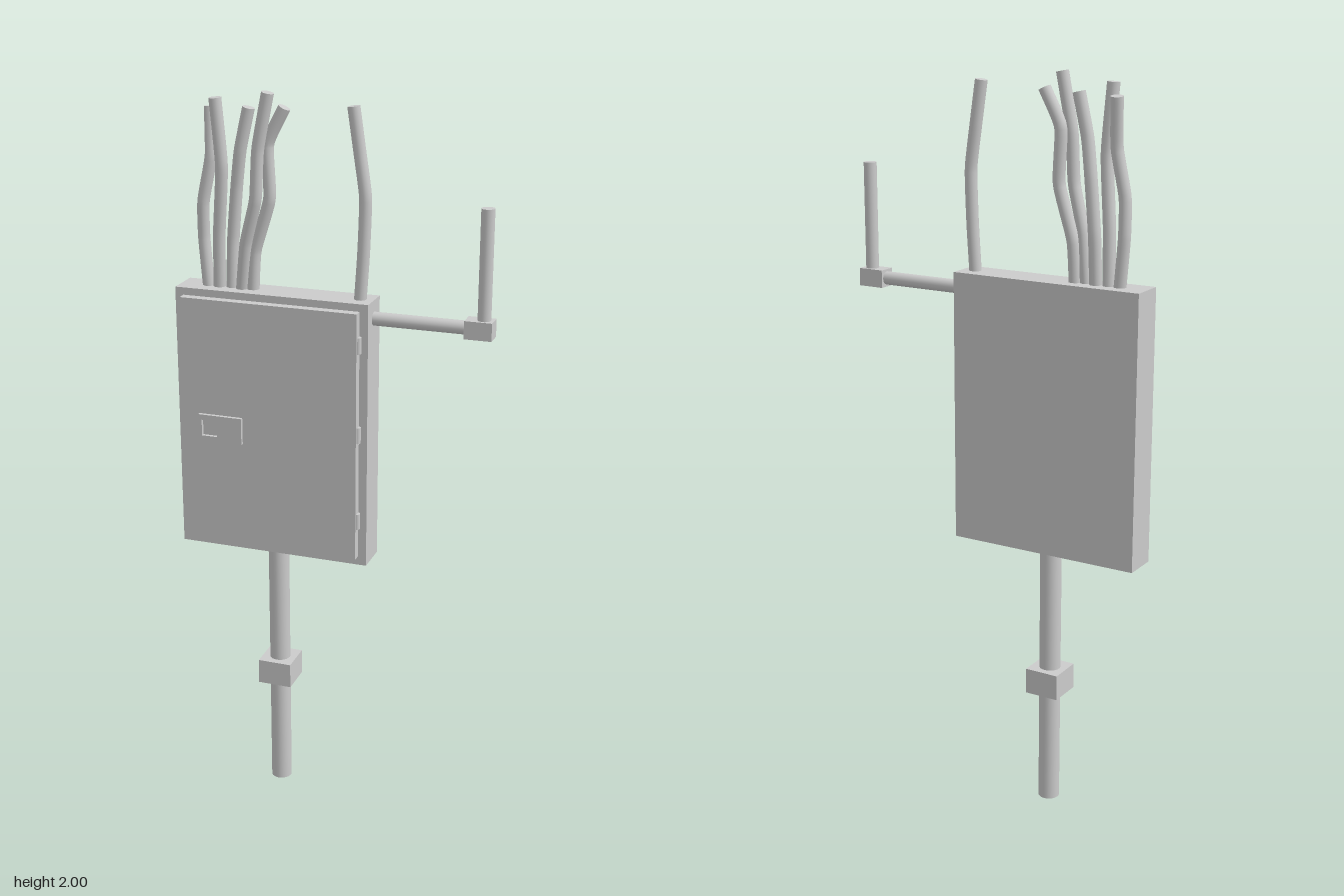
import * as THREE from 'three';

const material = new THREE.MeshStandardMaterial({ color: 0xcccccc });

export function createModel() {
  const model = new THREE.Group();

  function add(name, geometry, x = 0, y = 0, z = 0) {
    const mesh = new THREE.Mesh(geometry, material);
    mesh.name = name;
    mesh.position.set(x, y, z);
    model.add(mesh);
    return mesh;
  }

  // Box given by its lower and upper corners
  function box(name, [x0, y0, z0], [x1, y1, z1]) {
    return add(name, new THREE.BoxGeometry(x1 - x0, y1 - y0, z1 - z0),
      (x0 + x1) / 2, (y0 + y1) / 2, (z0 + z1) / 2);
  }

  function post(name, radius, x, y0, y1, z) {
    return add(name, new THREE.CylinderGeometry(radius, radius, y1 - y0, 24), x, (y0 + y1) / 2, z);
  }

  // Capped tube along a gently bent path
  function cable(name, points, radius = 0.0165) {
    const path = new THREE.CatmullRomCurve3(points.map(p => new THREE.Vector3(...p)), false, 'catmullrom', 0.25);
    add(name, new THREE.TubeGeometry(path, 32, radius, 14));
    [0, 1].forEach(t => {
      const end = path.getPointAt(t);
      const cap = add(name + 'End', new THREE.CircleGeometry(radius, 14), end.x, end.y, end.z);
      const out = path.getTangentAt(t).multiplyScalar(t ? 1 : -1);
      cap.quaternion.setFromUnitVectors(new THREE.Vector3(0, 0, 1), out);
    });
  }

  // Cabinet and door
  box('cabinet', [-0.43, 0.74, -0.067], [0.11, 1.475, 0.03]);
  box('door', [-0.407, 0.765, 0.03], [0.087, 1.455, 0.055]);

  // Latch plate with a square recess
  const plate = new THREE.Shape([[-0.36, 1.06], [-0.235, 1.06], [-0.235, 1.135], [-0.36, 1.135]]
    .map(p => new THREE.Vector2(...p)));
  plate.holes.push(new THREE.Path([[-0.35, 1.075], [-0.35, 1.12], [-0.306, 1.12], [-0.306, 1.075]]
    .map(p => new THREE.Vector2(...p))));
  add('latchPlate', new THREE.ExtrudeGeometry(plate, { depth: 0.01, bevelEnabled: false }), 0, 0, 0.055);

  // Hinges
  for (const y of [0.873, 1.12, 1.367]) post('hinge', 0.009, 0.086, y - 0.022, y + 0.022, 0.039);

  // Supporting conduit with coupling block
  post('lowerConduit', 0.029, -0.162, 0, 0.33, -0.017);
  post('upperConduit', 0.029, -0.162, 0.38, 0.745, -0.017);
  box('coupling', [-0.21, 0.322, -0.065], [-0.114, 0.393, 0.031]);

  // Side conduit, elbow block and riser
  const arm = add('sideConduit', new THREE.CylinderGeometry(0.018, 0.018, 0.27, 24), 0.235, 1.426, -0.019);
  arm.rotation.z = Math.PI / 2;
  box('elbow', [0.357, 1.402, -0.043], [0.43, 1.45, 0.005]);
  post('riser', 0.0175, 0.404, 1.44, 1.737, -0.019);

  // Cables rising from the cabinet top
  cable('cable1', [[-0.353, 1.46, -0.02], [-0.365, 1.6, -0.023], [-0.362, 1.7, -0.018], [-0.338, 1.82, -0.02], [-0.343, 1.945, -0.035]]);
  cable('cable2', [[-0.322, 1.46, -0.018], [-0.315, 1.62, -0.008], [-0.298, 1.8, 0.006], [-0.31, 1.975, 0.01]].map(
    ([x, y, z]) => [x, y, z]));
  cable('cable3', [[-0.287, 1.46, -0.022], [-0.284, 1.6, -0.028], [-0.27, 1.74, -0.025], [-0.255, 1.84, -0.018], [-0.23, 1.95, -0.019]]);
  cable('cable4', [[-0.258, 1.46, -0.016], [-0.238, 1.6, -0.002], [-0.205, 1.72, 0.008], [-0.195, 1.85, 0.011], [-0.165, 1.995, 0.013]]);
  cable('cable5', [[-0.227, 1.46, -0.02], [-0.218, 1.58, -0.019], [-0.175, 1.72, -0.016], [-0.178, 1.86, -0.016], [-0.132, 1.955, -0.018]]);
  cable('singleCable', [[0.072, 1.46, -0.018], [0.081, 1.6, -0.018], [0.085, 1.74, -0.018], [0.069, 1.85, -0.02], [0.052, 1.968, -0.019]]);

  return model;
}
